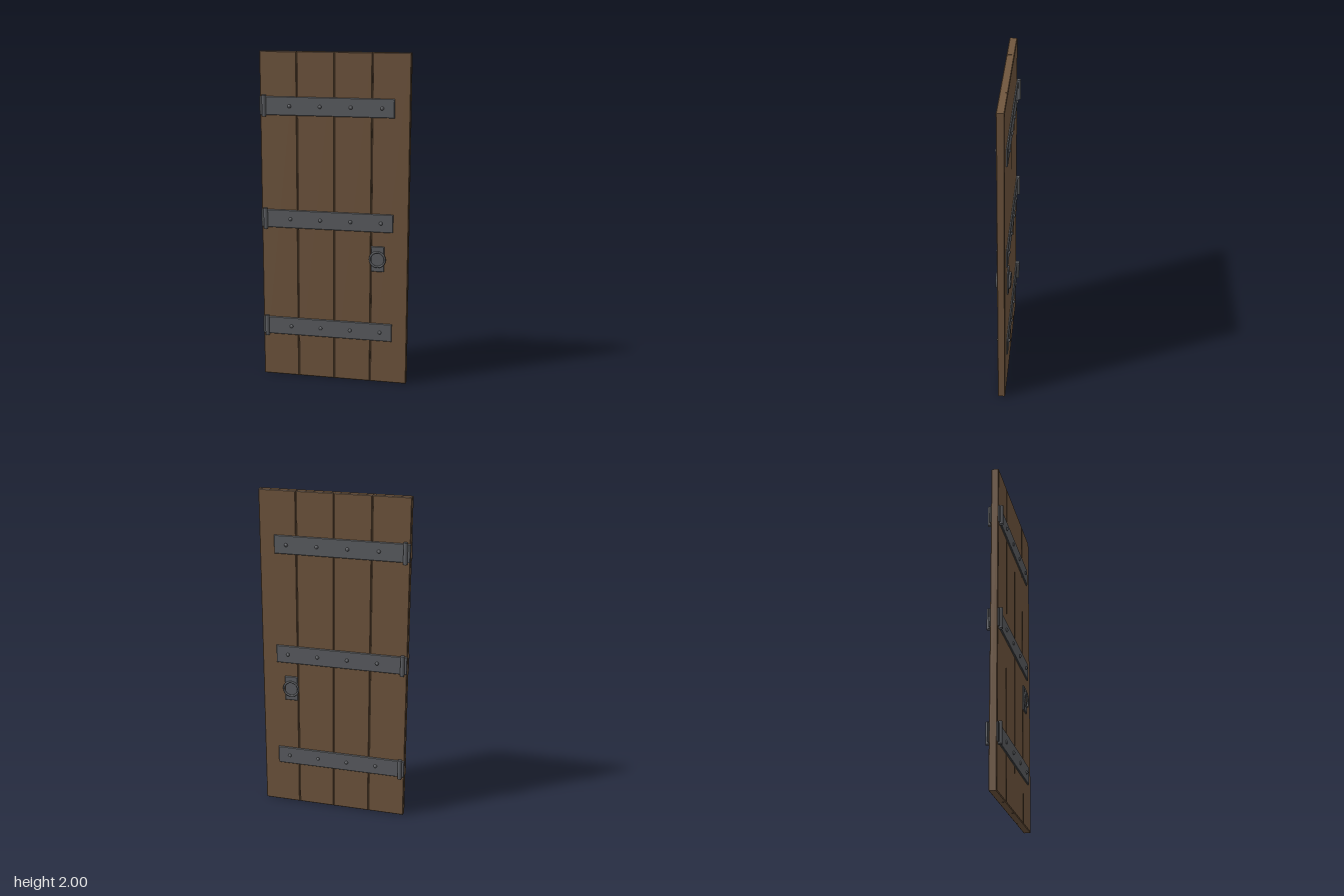
import * as THREE from 'three';

const wood = new THREE.MeshStandardMaterial({ color: 0x70563e });
wood.name = 'brown wood';
const iron = new THREE.MeshStandardMaterial({ color: 0x5c5e62 });
iron.name = 'grey iron';

// Box with chamfered edges, centred on the origin
function chamferedBox(w, h, d, c) {
  const x = w / 2 - c, y = h / 2 - c;
  const shape = new THREE.Shape([
    new THREE.Vector2(-x, -y), new THREE.Vector2(x, -y),
    new THREE.Vector2(x, y), new THREE.Vector2(-x, y),
  ]);
  return new THREE.ExtrudeGeometry(shape, {
    depth: d - 2 * c, bevelEnabled: true, bevelThickness: c, bevelSize: c, bevelSegments: 1,
  }).translate(0, 0, -d / 2 + c);
}

function add(parent, name, geometry, material, x, y, z) {
  const mesh = new THREE.Mesh(geometry, material);
  mesh.name = name;
  mesh.position.set(x, y, z);
  parent.add(mesh);
  return mesh;
}

export function createModel() {
  const door = new THREE.Group();
  door.name = 'plankDoor';

  // Four upright planks with narrow seams
  const pitch = 0.2237;
  const plank = chamferedBox(pitch - 0.002, 2, 0.045, 0.004);
  for (let i = 0; i < 4; i++) add(door, 'plank', plank, wood, (i - 1.5) * pitch, 1, 0);

  const strap = chamferedBox(0.803, 0.11, 0.012, 0.003);
  const knuckle = new THREE.CylinderGeometry(0.0125, 0.0125, 0.127, 16);
  const rivet = new THREE.SphereGeometry(0.011, 12, 6, 0, Math.PI * 2, 0, Math.PI / 2).rotateX(Math.PI / 2);
  const plate = chamferedBox(0.08, 0.155, 0.012, 0.003);
  const ring = new THREE.TorusGeometry(0.0455, 0.0062, 8, 28);

  // Iron fittings on both faces
  for (const s of [1, -1]) {
    const fittings = new THREE.Group();
    fittings.name = s > 0 ? 'frontFittings' : 'backFittings';
    door.add(fittings);

    // Strap hinges with knuckles and rivets
    for (const y of [0.323, 1.003, 1.683]) {
      add(fittings, 'hingeStrap', strap, iron, -0.046, y, s * 0.026);
      add(fittings, 'hingeKnuckle', knuckle, iron, -0.42, y, s * 0.0345);
      for (let i = 0; i < 4; i++) {
        const r = add(fittings, 'rivet', rivet, iron, -0.267 + i * 0.1833, y, s * 0.032);
        if (s < 0) r.rotation.y = Math.PI;
      }
    }

    // Ring handle on its backplate
    add(fittings, 'handlePlate', plate, iron, 0.265, 0.783, s * 0.0265);
    add(fittings, 'handleRing', ring, iron, 0.265, 0.783, s * 0.0385);
  }
  return door;
}
